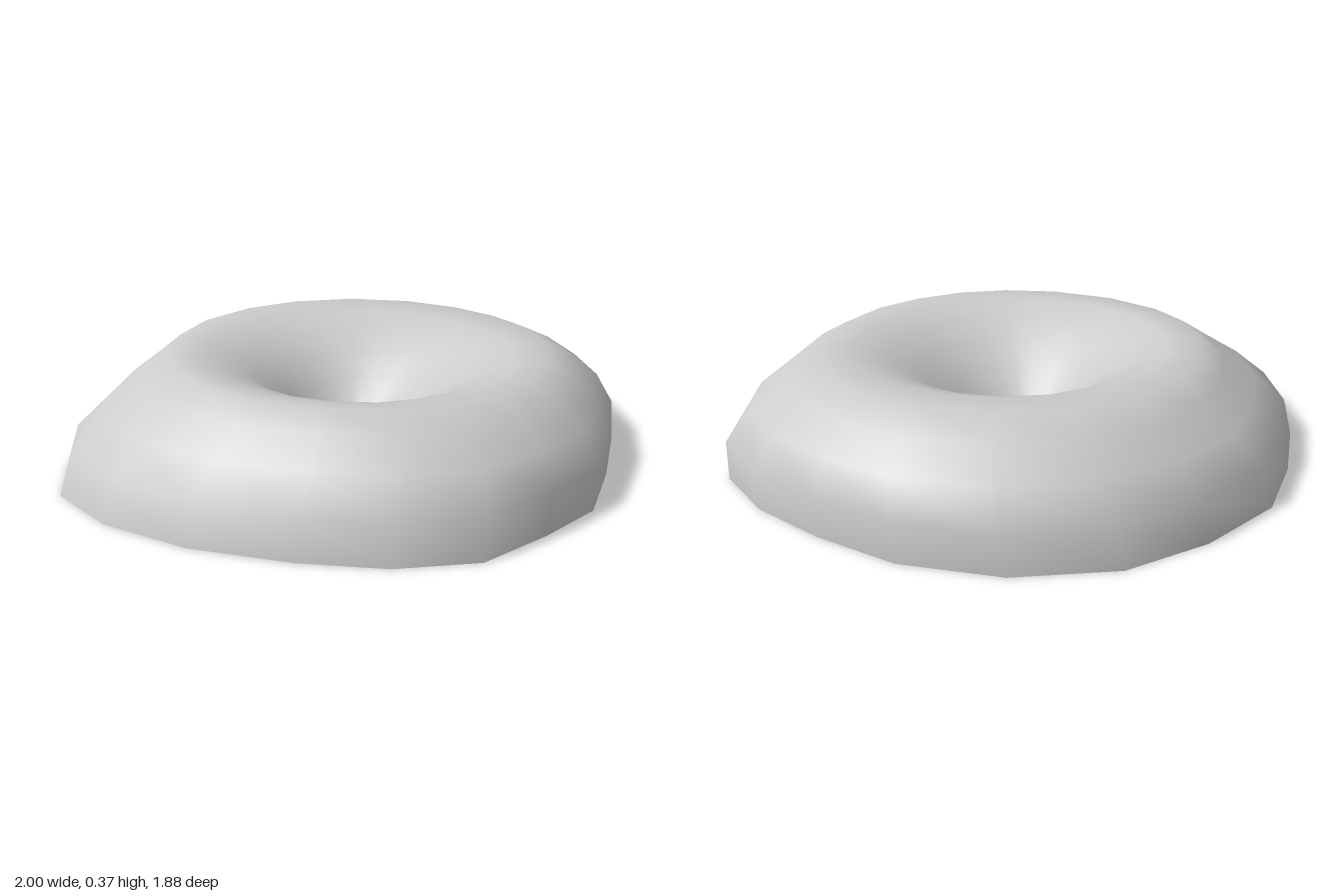
import * as THREE from 'three';

// Irregular base outline [x, z], running from +x towards -z
const OUTLINE = [
  [1, 0], [0.93, -0.25], [0.79, -0.48], [0.61, -0.7], [0.34, -0.87],
  [0.02, -0.94], [-0.27, -0.88], [-0.56, -0.74], [-0.75, -0.52], [-0.92, -0.26],
  [-1, 0.01], [-0.92, 0.27], [-0.74, 0.52], [-0.49, 0.73], [-0.26, 0.87],
  [-0.01, 0.94], [0.24, 0.87], [0.47, 0.78], [0.68, 0.56], [0.9, 0.27],
];
const MEAN = 0.945;

// Rings from the open base, over the rim and down into the pit:
// radius, height, share of the outline's irregularity, shift in x, shift in z
const RINGS = [
  [0.945, 0, 1, 0, 0],
  [0.93, 0.13, 0.9, 0.02, 0],
  [0.845, 0.23, 0.6, 0.045, 0],
  [0.735, 0.31, 0.3, 0.05, 0],
  [0.645, 0.365, 0.1, 0.04, 0],
  [0.53, 0.355, 0, 0.03, 0.02],
  [0.42, 0.318, 0, 0.03, 0.03],
  [0.32, 0.258, 0, 0.025, 0.025],
  [0.23, 0.185, 0, 0.015, 0.015],
  [0.15, 0.105, 0, 0.005, 0.005],
  [0.08, 0.035, 0, 0, 0],
];

function craterGeometry() {
  const n = OUTLINE.length;
  const positions = [];
  const index = [];
  RINGS.forEach(([radius, y, share, shiftX, shiftZ], k) => {
    OUTLINE.forEach(([x, z], i) => {
      const length = Math.hypot(x, z);
      const r = radius + share * (length - MEAN);
      // the rim rises slightly towards the back left
      const lift = k === 4 || k === 5 ? -(0.003 * x + 0.007 * z) / length : 0;
      positions.push(x / length * r + shiftX, y + lift, z / length * r + shiftZ);
      const a = k * n + i;
      const b = k * n + (i + 1) % n;
      if (k < RINGS.length - 1) index.push(a, b, a + n, b, b + n, a + n);
      else index.push(a, b, RINGS.length * n);
    });
  });
  positions.push(0, 0.005, 0); // bottom of the pit
  const geometry = new THREE.BufferGeometry();
  geometry.setAttribute('position', new THREE.Float32BufferAttribute(positions, 3));
  geometry.setIndex(index);
  geometry.computeVertexNormals();
  return geometry;
}

export function createModel() {
  const group = new THREE.Group();
  group.name = 'crater';
  const material = new THREE.MeshStandardMaterial({ color: 0xcccccc, side: THREE.DoubleSide });
  const mound = new THREE.Mesh(craterGeometry(), material);
  mound.name = 'craterMound';
  group.add(mound);
  return group;
}
